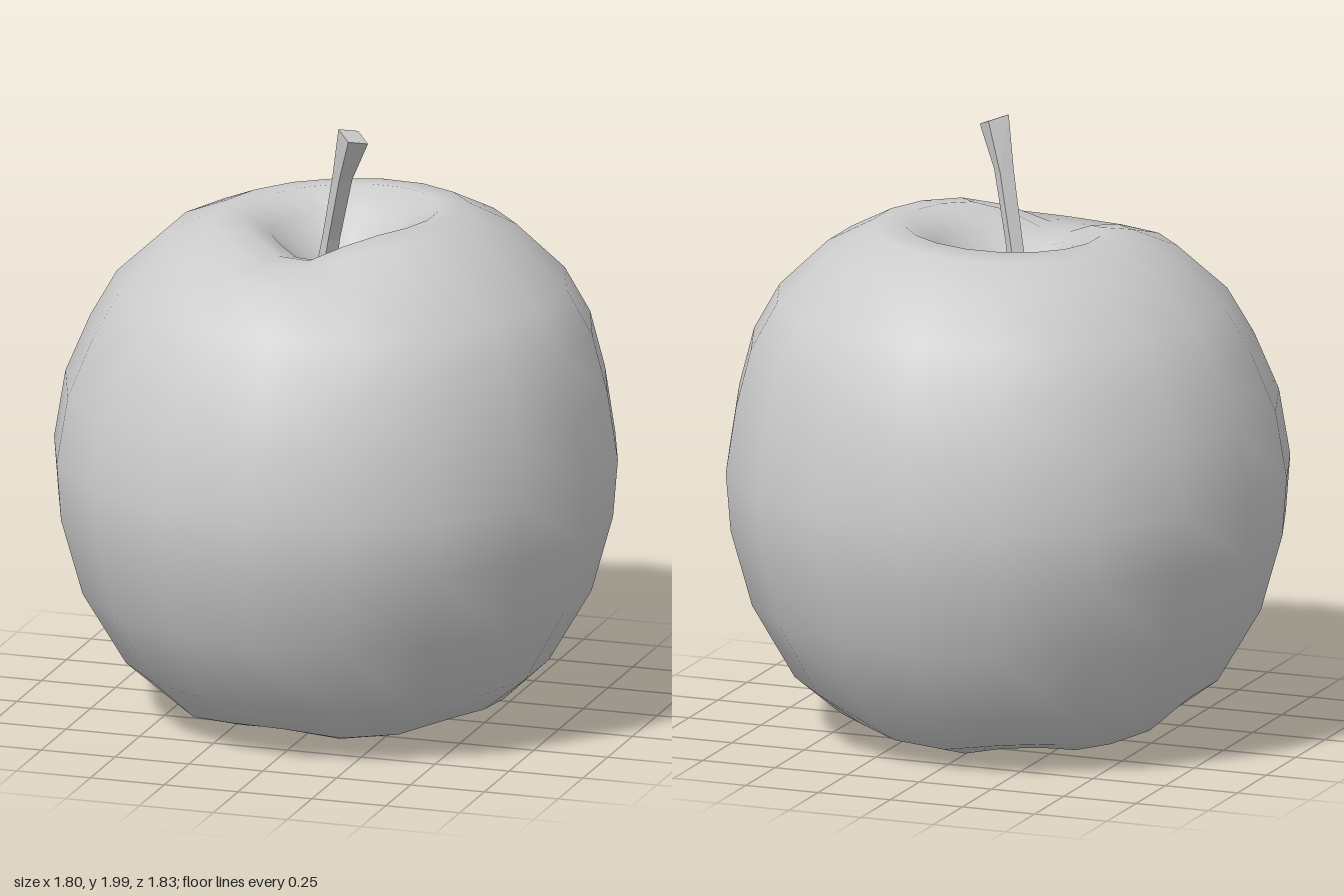
import * as THREE from 'three';
import { mergeVertices } from 'three/addons/utils/BufferGeometryUtils.js';

const SIDES = 18;

// Smooth low-poly body: a turned profile, made slightly irregular by rule
function makeBody(material) {
  const profile = [
    [0, 0.2], [0.07, 0.19], [0.14, 0.14], [0.24, 0.06], [0.36, 0.02], // underside hollow
    [0.54, 0.075], [0.69, 0.2], [0.83, 0.44], [0.9, 0.69], [0.915, 0.88],
    [0.88, 1.1], [0.815, 1.29], [0.73, 1.44], [0.57, 1.59], [0.42, 1.66],
    [0.32, 1.67], [0.22, 1.61], [0.13, 1.49], [0.06, 1.37], [0, 1.35], // stem hollow
  ].map(([r, y]) => new THREE.Vector2(r, y));

  let geometry = new THREE.LatheGeometry(profile, SIDES);
  const pos = geometry.attributes.position;
  for (let i = 0; i < pos.count; i++) {
    let x = pos.getX(i), y = pos.getY(i), z = pos.getZ(i);
    const r = Math.hypot(x, z);
    const angle = Math.atan2(x, z);
    if (y > 1.2 && r > 0.1) {
      // the rim sags at the front and rises a little on the left
      const rim = Math.exp(-(((r - 0.36) / 0.18) ** 2));
      y -= 0.09 * rim * Math.exp(-(((angle + 0.15) / 0.5) ** 2));
      y += 0.015 * rim * Math.sin(angle);
    } else if (y < 0.15 && r > 0.1) {
      // five soft lobes underneath
      y += 0.015 * Math.cos(5 * angle + 0.6);
    }
    // the body leans slightly as it rises
    const lean = 0.012 * Math.sin(y * 2.4);
    pos.setXYZ(i, x + (y > 1.2 ? 0.015 : 0) * Math.min(1, r * 2), y, z + lean * Math.min(1, r * 2));
  }
  geometry.deleteAttribute('uv');
  geometry.deleteAttribute('normal');
  geometry = mergeVertices(geometry, 1e-4);
  geometry.computeVertexNormals();
  const mesh = new THREE.Mesh(geometry, material);
  mesh.name = 'body';
  return mesh;
}

// Four-sided stem: each ring follows a bent path and has its own thickness
function makeStem(material) {
  const rings = [ // x, y, z, radius
    [-0.045, 1.33, 0.025, 0.06],
    [-0.035, 1.42, 0.04, 0.036],
    [0.005, 1.6, 0.075, 0.03],
    [0.06, 1.82, 0.125, 0.034],
    [0.11, 1.975, 0.165, 0.05],
  ];
  const geometry = new THREE.CylinderGeometry(1, 1, 1, 4, rings.length - 1);
  const pos = geometry.attributes.position;
  for (let i = 0; i < pos.count; i++) {
    const x = pos.getX(i), z = pos.getZ(i);
    const k = Math.round((pos.getY(i) + 0.5) * (rings.length - 1));
    const [cx, cy, cz, r] = rings[k];
    const slant = k === rings.length - 1 ? -0.02 * x - 0.005 * z : 0;
    pos.setXYZ(i, cx + x * r, cy + slant, cz + z * r);
  }
  geometry.computeVertexNormals();
  const mesh = new THREE.Mesh(geometry, material);
  mesh.name = 'stem';
  return mesh;
}

// Small dried blossom stub in the underside hollow
function makeCalyx(material) {
  const mesh = new THREE.Mesh(new THREE.CylinderGeometry(0.08, 0.05, 0.08, 6), material);
  mesh.position.y = 0.165;
  mesh.name = 'calyx';
  return mesh;
}

export function createModel() {
  const smooth = new THREE.MeshStandardMaterial({ color: 0xcccccc });
  const faceted = new THREE.MeshStandardMaterial({ color: 0xcccccc, flatShading: true });
  const apple = new THREE.Group();
  apple.name = 'apple';
  apple.add(makeBody(smooth), makeStem(faceted), makeCalyx(smooth));
  return apple;
}
